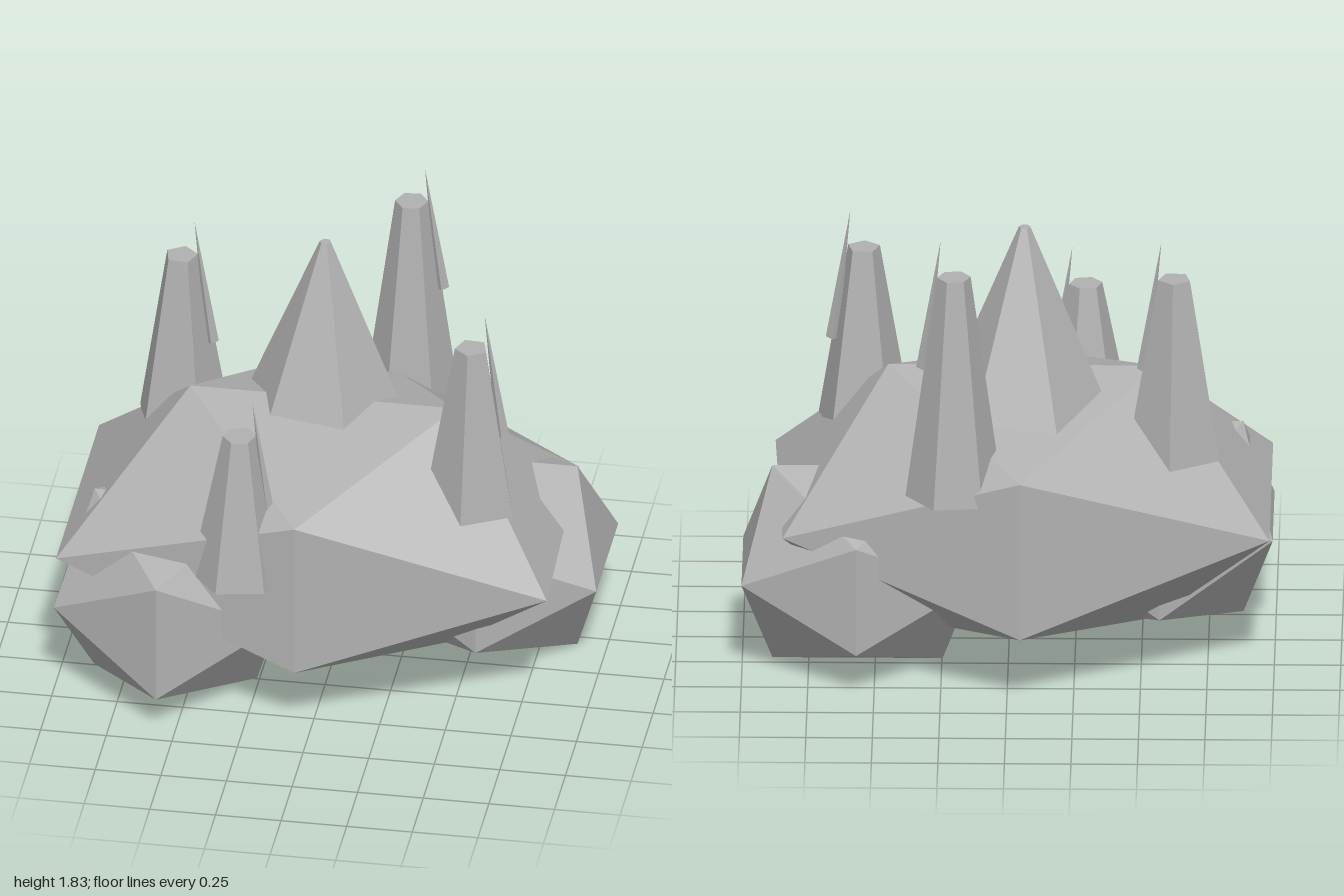
import * as THREE from 'three';
import { ConvexGeometry } from 'three/addons/geometries/ConvexGeometry.js';

const stone = new THREE.MeshStandardMaterial({ color: 0xb0b0b0 });
stone.name = 'grey stone';
const RAD = Math.PI / 180;

function part(name, geometry, parent) {
  const mesh = new THREE.Mesh(geometry, stone);
  mesh.name = name;
  parent.add(mesh);
  return mesh;
}

// Twelve-cornered rock: three crossed rectangles of corners around a centre
function rock(name, [x, y, z], [ax, ay], [by, bz], [cx, cz], parent, adjust) {
  const points = [];
  for (const s of [-1, 1]) for (const t of [-1, 1]) {
    points.push(
      new THREE.Vector3(x + s * ax, y + t * ay, z),
      new THREE.Vector3(x, y + s * by, z + t * bz),
      new THREE.Vector3(x + s * cx, y, z + t * cz));
  }
  if (adjust) points.forEach(adjust);
  return part(name, new ConvexGeometry(points), parent);
}

// Faceted tapering column; phase is the angle of one corner, from +x towards +z
function column(name, x, z, bottom, top, rBottom, rTop, sides, phase, parent) {
  const geometry = new THREE.CylinderGeometry(
    rTop, rBottom, top - bottom, sides, 1, false, (90 - phase) * RAD).toNonIndexed();
  geometry.computeVertexNormals();
  geometry.translate(x, (top + bottom) / 2, z);
  return part(name, geometry, parent);
}

// Column with a thin splinter leaning against its +x side
function spire(name, x, z, bottom, top, sides, phase, parent) {
  const group = new THREE.Group();
  group.name = name;
  parent.add(group);
  column('shaft', x, z, bottom, top, 0.183, 0.063, sides, phase, group);
  const length = 0.52;
  const splinter = new THREE.ConeGeometry(0.025, length, 4).toNonIndexed();
  splinter.computeVertexNormals();
  splinter.translate(0, -length / 2, 0);
  const mesh = part('splinter', splinter, group);
  mesh.position.set(x + 0.05, top + 0.148, z);
  mesh.rotation.z = 0.13;
}

export function createModel() {
  const model = new THREE.Group();
  model.name = 'rockFormation';

  // Main mass, slightly deeper at the back
  rock('mainRock', [-0.05, 0.61, 0], [0.505, 0.51], [0.315, 0.685], [0.935, 0.49], model, p => {
    if (Math.abs(p.z) > 0.6) p.z -= 0.035;
    if (p.x > 0.8 && p.z < 0) p.x -= 0.04;
  });

  // Two boulders at the foot
  rock('leftBoulder', [0.567, 0.4, -0.2], [0.32, 0.39], [0.215, 0.415], [0.433, 0.25], model);
  rock('rightBoulder', [-0.567, 0.405, 0.26], [0.31, 0.385], [0.24, 0.455], [0.423, 0.25], model);

  // Central peak and the four surrounding spires
  column('centralPeak', -0.06, -0.12, 0.97, 1.73, 0.335, 0.022, 6, 7, model);
  spire('backSpire', 0.2, -0.53, 0.81, 1.69, 6, -6, model);
  spire('rightSpire', -0.625, -0.215, 0.85, 1.56, 5, -85, model);
  spire('leftSpire', 0.55, 0.2, 0.82, 1.515, 5, 22, model);
  spire('frontSpire', -0.28, 0.525, 0.64, 1.24, 6, 50, model);

  return model;
}
